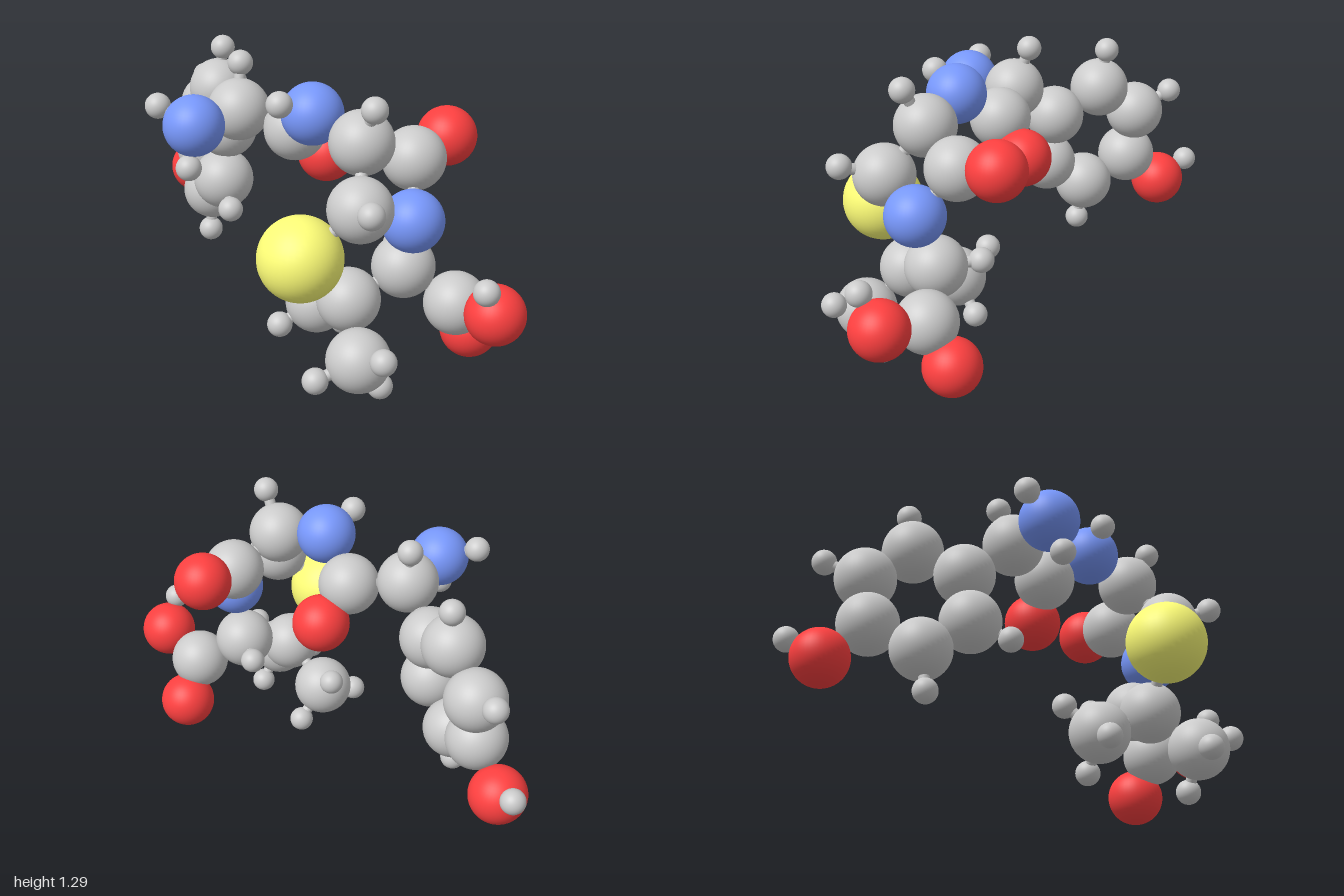
import * as THREE from 'three';

// Radius and colour of each kind of atom
const KINDS = {
  carbon: { r: 0.135, color: 0xcccccc },
  nitrogen: { r: 0.131, color: 0x7898fc },
  oxygen: { r: 0.127, color: 0xff4040 },
  sulfur: { r: 0.178, color: 0xffff78 },
  hydrogen: { r: 0.055, color: 0xcccccc },
};

// Atom centres, grouped by the part of the molecule they belong to
const PARTS = {
  phenolRing: {
    carbon: [[-0.36, 0.87, -0.22], [-0.37, 0.98, -0.445], [-0.40, 0.834, -0.64],
      [-0.43, 0.604, -0.615], [-0.42, 0.492, -0.39], [-0.385, 0.633, -0.19]],
    oxygen: [[-0.46, 0.438, -0.80]],
    hydrogen: [[-0.458, 0.524, -0.945], [-0.345, 1.166, -0.47], [-0.405, 0.914, -0.82],
      [-0.437, 0.297, -0.366], [-0.374, 0.555, -0.02]],
  },
  amineBranch: {
    carbon: [[-0.327, 1.034, -0.012]],
    nitrogen: [[-0.534, 1.033, 0.145]],
    hydrogen: [[-0.308, 1.222, -0.078], [-0.675, 1.096, 0.053], [-0.566, 0.865, 0.20]],
  },
  amideLink: {
    carbon: [[-0.102, 0.982, 0.124]],
    oxygen: [[0.045, 0.84, 0.068]],
    nitrogen: [[-0.062, 1.128, 0.331]],
    hydrogen: [[-0.206, 1.197, 0.388]],
  },
  squareRing: {
    carbon: [[0.108, 1.063, 0.512], [0.342, 0.95, 0.443], [0.07, 0.85, 0.687]],
    nitrogen: [[0.303, 0.748, 0.614]],
    oxygen: [[0.511, 0.99, 0.324]],
    hydrogen: [[0.137, 1.236, 0.612], [0.074, 0.911, 0.877]],
  },
  sulfurRing: {
    sulfur: [[-0.165, 0.635, 0.651]],
    carbon: [[0.047, 0.393, 0.585], [0.29, 0.50, 0.53]],
    hydrogen: [[0.30, 0.503, 0.334]],
  },
  frontMethyl: {
    carbon: [[0.05, 0.222, 0.79]],
    hydrogen: [[0.152, 0.06, 0.746], [0.12, 0.298, 0.943], [-0.133, 0.162, 0.82]],
  },
  backMethyl: {
    carbon: [[-0.048, 0.264, 0.356]],
    hydrogen: [[-0.045, 0.39, 0.206], [0.077, 0.123, 0.305], [-0.215, 0.185, 0.39]],
  },
  carboxylGroup: {
    carbon: [[0.495, 0.357, 0.625]],
    oxygen: [[0.60, 0.412, 0.842], [0.585, 0.182, 0.546]],
    hydrogen: [[0.538, 0.553, 0.905]],
  },
};

export function createModel() {
  const model = new THREE.Group();
  const atoms = [];

  // Atoms: one smooth sphere each
  const looks = {};
  for (const [kind, { r, color }] of Object.entries(KINDS)) {
    looks[kind] = {
      geometry: new THREE.SphereGeometry(r, 40, 28),
      material: new THREE.MeshStandardMaterial({ color }),
    };
  }
  for (const [part, kinds] of Object.entries(PARTS)) {
    const group = new THREE.Group();
    group.name = part;
    for (const [kind, centres] of Object.entries(kinds)) {
      for (const c of centres) {
        const atom = new THREE.Mesh(looks[kind].geometry, looks[kind].material);
        atom.name = kind + 'Atom';
        atom.position.set(...c);
        group.add(atom);
        atoms.push({ p: atom.position, r: KINDS[kind].r });
      }
    }
    model.add(group);
  }

  // Bonds: thin rods between atoms that nearly touch
  const bonds = new THREE.Group();
  bonds.name = 'bonds';
  const rod = new THREE.CylinderGeometry(0.025, 0.025, 1, 16);
  const rodMaterial = new THREE.MeshStandardMaterial({ color: 0xcccccc });
  const up = new THREE.Vector3(0, 1, 0);
  atoms.forEach((a, i) => {
    for (const b of atoms.slice(i + 1)) {
      const span = b.p.clone().sub(a.p);
      const length = span.length();
      if (length > (a.r + b.r) * 1.13) continue;
      const bond = new THREE.Mesh(rod, rodMaterial);
      bond.name = 'bond';
      bond.position.copy(a.p).addScaledVector(span, 0.5);
      bond.scale.y = length;
      bond.quaternion.setFromUnitVectors(up, span.normalize());
      bonds.add(bond);
    }
  });
  model.add(bonds);
  return model;
}
